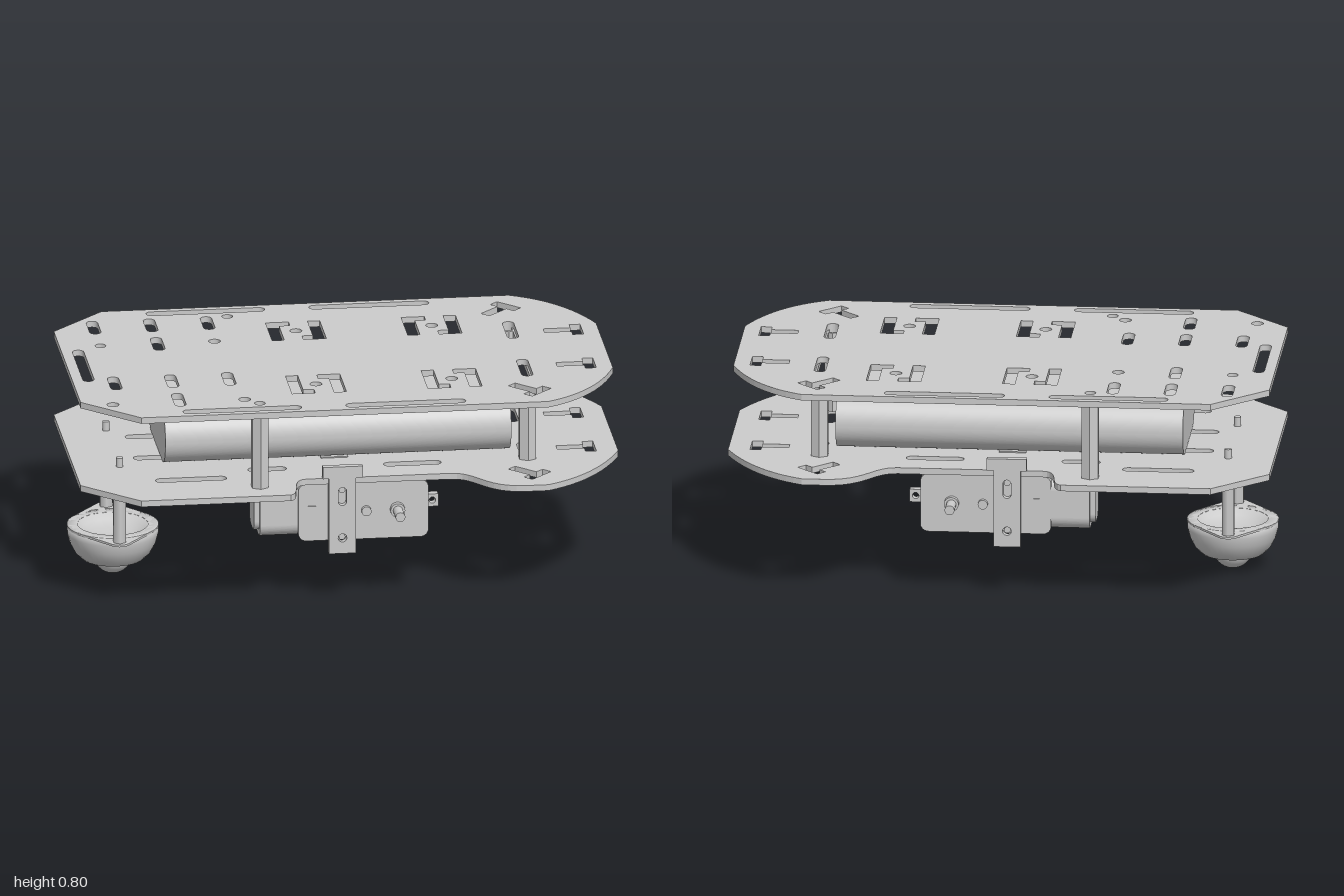
import * as THREE from 'three';

const grey = new THREE.MeshStandardMaterial({ color: 0xcccccc });
const thin = new THREE.MeshStandardMaterial({ color: 0xcccccc, side: THREE.DoubleSide });

function add(parent, name, geometry, x = 0, y = 0, z = 0, material = grey) {
  const m = new THREE.Mesh(geometry, material);
  m.name = name;
  m.position.set(x, y, z);
  parent.add(m);
  return m;
}
const box = (w, h, d) => new THREE.BoxGeometry(w, h, d);
const poly = (pts) => new THREE.Shape(pts.map(([x, y]) => new THREE.Vector2(x, y)));
const circle = (x, y, r) => new THREE.Shape().absarc(x, y, r, 0, Math.PI * 2);
const extrude = (shape, depth) =>
  new THREE.ExtrudeGeometry(shape, { depth, bevelEnabled: false, curveSegments: 12 });
// Horizontal slab: shape y becomes z, thickness goes down from y = 0
const slab = (shape, depth) => extrude(shape, depth).rotateX(Math.PI / 2);

// Rounded slot between two points along x or z
function slot(x0, z0, x1, z1, r = 0.021) {
  const s = new THREE.Shape();
  const a = Math.atan2(z1 - z0, x1 - x0);
  s.absarc(x1, z1, r, a - Math.PI / 2, a + Math.PI / 2);
  s.absarc(x0, z0, r, a + Math.PI / 2, a + Math.PI * 1.5);
  return s;
}
function roundRect(x0, y0, x1, y1, r) {
  const s = new THREE.Shape();
  s.absarc(x1 - r, y0 + r, r, -Math.PI / 2, 0);
  s.absarc(x1 - r, y1 - r, r, 0, Math.PI / 2);
  s.absarc(x0 + r, y1 - r, r, Math.PI / 2, Math.PI);
  s.absarc(x0 + r, y0 + r, r, Math.PI, Math.PI * 1.5);
  return s;
}
// T-shaped cut-out: stem along local x, bar at its end
function tee(cx, cz, angle, side) {
  const c = Math.cos(angle), s = Math.sin(angle), w = 0.02;
  const pts = [[-0.1, -w], [0, -w], [0, -0.055], [0.04, -0.055],
    [0.04, 0.055], [0, 0.055], [0, w], [-0.1, w]];
  return poly(pts.map(([u, v]) => [cx + u * c - v * s, side * (cz + u * s + v * c)]));
}
// Pair of facing L-shaped cut-outs around a round hole
function angleCuts(cx, side) {
  const ell = [[-0.1, -0.1], [-0.055, -0.1], [-0.055, 0.06], [-0.015, 0.06], [-0.015, 0.1], [-0.1, 0.1]];
  return [
    poly(ell.map(([u, v]) => [cx + u, side * (0.3 + v)])),
    poly(ell.map(([u, v]) => [cx - u, side * (0.3 - v)])),
    circle(cx, side * 0.3, 0.022),
  ];
}

// Plate outline: chamfered tail, curved nose, optional wheel notches
function plateShape(nose, notched) {
  const s = new THREE.Shape();
  s.moveTo(-1, -0.4);
  s.lineTo(-0.8, -0.6);
  if (notched) {
    s.lineTo(-0.25, -0.6);
    s.bezierCurveTo(-0.2, -0.58, -0.24, -0.43, -0.17, -0.43);
    s.lineTo(0.36, -0.43);
    s.bezierCurveTo(0.46, -0.43, 0.46, -0.6, 0.62, -0.6);
  }
  s.lineTo(0.7, -0.6);
  s.quadraticCurveTo(0.89, -0.51, nose, -0.25);
  s.lineTo(nose, 0.25);
  s.quadraticCurveTo(0.89, 0.51, 0.7, 0.6);
  if (notched) {
    s.lineTo(0.62, 0.6);
    s.bezierCurveTo(0.46, 0.6, 0.46, 0.43, 0.36, 0.43);
    s.lineTo(-0.17, 0.43);
    s.bezierCurveTo(-0.24, 0.43, -0.2, 0.58, -0.25, 0.6);
  }
  s.lineTo(-0.8, 0.6);
  s.lineTo(-1, 0.4);
  // Cut-outs shared by both plates
  for (const k of [-1, 1]) {
    s.holes.push(tee(0.66, 0.465, Math.PI / 4, k), tee(0.88, 0.19, 0, k),
      slot(0.66, k * 0.14, 0.66, k * 0.285), circle(-0.35, k * 0.49, 0.02));
  }
  return s;
}

function motorUnit() {
  const g = new THREE.Group();
  // Gearbox and motor can
  add(g, 'gearbox', extrude(roundRect(-0.2, 0.235, 0.28, 0.455, 0.03), 0.19), 0, 0, 0.23);
  add(g, 'motorCan', extrude(roundRect(-0.09, -0.1, 0.09, 0.1, 0.05), 0.14).rotateY(Math.PI / 2), -0.34, 0.348, 0.325);
  add(g, 'motorEndCap', extrude(roundRect(-0.07, -0.08, 0.07, 0.08, 0.04), 0.02).rotateY(Math.PI / 2), -0.36, 0.348, 0.325);
  add(g, 'sideClip', box(0.03, 0.045, 0.2), -0.15, 0.347, 0.325);
  // Mounting tab with hole
  const tab = roundRect(0.27, 0.322, 0.327, 0.37, 0.005);
  tab.holes.push(circle(0.304, 0.346, 0.012));
  add(g, 'mountTab', extrude(tab, 0.03), 0, 0, 0.31);
  // Axle, its collar and the locating peg
  const rod = (r, l) => new THREE.CylinderGeometry(r, r, l, 20).rotateX(Math.PI / 2);
  add(g, 'axle', rod(0.018, 0.38), 0.165, 0.345, 0.325);
  add(g, 'axleCollar', rod(0.027, 0.23), 0.165, 0.345, 0.325);
  add(g, 'locatingPeg', rod(0.018, 0.22), 0.05, 0.345, 0.325);
  // Outer bracket with wide head, inner bracket straight
  const cuts = () => [slot(-0.04, 0.39, -0.04, 0.43, 0.015), circle(-0.04, 0.25, 0.016)];
  const outer = poly([[-0.09, 0.19], [0.01, 0.19], [0.01, 0.48], [0.035, 0.48], [0.035, 0.525],
    [-0.112, 0.525], [-0.112, 0.48], [-0.09, 0.48]]);
  outer.holes.push(...cuts());
  add(g, 'outerBracket', extrude(outer, 0.025), 0, 0, 0.42);
  const inner = poly([[-0.09, 0.19], [0.01, 0.19], [0.01, 0.482], [-0.09, 0.482]]);
  inner.holes.push(...cuts());
  add(g, 'innerBracket', extrude(inner, 0.028), 0, 0, 0.177);
  // Through bolts
  for (const y of [0.25, 0.43]) add(g, 'bracketBolt', rod(0.012, 0.24), -0.04, y, 0.31);
  return g;
}

export function createModel() {
  const root = new THREE.Group();

  // Upper deck
  const top = plateShape(0.98, false);
  top.holes.push(slot(-0.94, -0.16, -0.94, 0.15), circle(-0.885, 0.44, 0.022),
    circle(-0.4, 0.44, 0.022), circle(-0.85, -0.22, 0.02), circle(-0.43, -0.22, 0.022),
    slot(-0.64, -0.265, -0.64, -0.165), slot(-0.64, 0.365, -0.64, 0.465));
  for (const x of [-0.85, -0.64, -0.43])
    top.holes.push(slot(x, -0.475, x, -0.375), slot(x, 0.155, x, 0.255));
  for (const k of [-1, 1])
    top.holes.push(slot(-0.62, k * 0.553, -0.225, k * 0.553), slot(-0.02, k * 0.553, 0.38, k * 0.553),
      ...angleCuts(-0.12, k), ...angleCuts(0.38, k));
  add(root, 'upperDeck', slab(top, 0.023), 0, 0.8);

  // Lower deck
  const low = plateShape(1, true);
  for (const k of [-1, 1])
    low.holes.push(slot(-0.7, k * 0.38, -0.48, k * 0.38), slot(-0.75, k * 0.12, -0.6, k * 0.12),
      slot(0.15, k * 0.3, 0.32, k * 0.3), slot(-0.35, k * 0.3, -0.25, k * 0.3));
  add(root, 'lowerDeck', slab(low, 0.023), 0, 0.478);

  // Stiffening ribs beneath the decks
  add(root, 'upperLongRib', box(1.7, 0.024, 0.04), 0, 0.766);
  for (const x of [-0.54, 0.065, 0.69]) add(root, 'upperCrossRib', box(0.03, 0.024, 0.8), x, 0.766);
  add(root, 'lowerLongRib', box(1.47, 0.024, 0.04), 0.165, 0.443);
  for (const x of [-0.435, 0.445]) add(root, 'lowerCrossRib', box(0.03, 0.024, 0.7), x, 0.443, 0.02);

  // Hollow hexagonal standoffs
  const hex = poly([0, 1, 2, 3, 4, 5].map((i) => {
    const a = (i * Math.PI) / 3 + Math.PI / 2;
    return [0.035 * Math.cos(a), 0.035 * Math.sin(a)];
  }));
  hex.holes.push(circle(0, 0, 0.02));
  for (const [x, z] of [[-0.35, 0.49], [0.66, 0.29]])
    for (const k of [-1, 1]) add(root, 'standoff', slab(hex, 0.3), x, 0.778, k * z);

  // Battery pack lying on the lower deck
  add(root, 'batteryPack', new THREE.ExtrudeGeometry(roundRect(-0.262, 0.48, 0.262, 0.68, 0.097),
    { depth: 1.275, bevelEnabled: false, curveSegments: 20 }).rotateY(Math.PI / 2), -0.67);

  // Drive motors, mirrored across the centre line
  for (const k of [1, -1]) {
    const m = motorUnit();
    m.name = k > 0 ? 'frontMotor' : 'rearMotor';
    m.scale.z = k;
    root.add(m);
  }

  // Ball caster hung below the tail
  const caster = new THREE.Group();
  caster.name = 'caster';
  caster.position.x = -0.832;
  root.add(caster);
  const cup = [[0.07, 0.058], [0.115, 0.06], [0.14, 0.085], [0.158, 0.12], [0.167, 0.155], [0.168, 0.187],
    [0.13, 0.187], [0.115, 0.165], [0.07, 0.15], [0, 0.145]];
  add(caster, 'casterCup', new THREE.LatheGeometry(cup.map(([r, y]) => new THREE.Vector2(r, y)), 40), 0, 0, 0, thin);
  add(caster, 'casterBall', new THREE.SphereGeometry(0.073, 28, 18), 0, 0.073);
  const flange = new THREE.Shape();
  flange.absarc(0, 0, 0.168, -0.6, 0.6);
  flange.absarc(0, 0.205, 0.04, 0.6, Math.PI - 0.6);
  flange.absarc(0, 0, 0.168, Math.PI - 0.6, Math.PI + 0.6);
  flange.absarc(0, -0.205, 0.04, Math.PI + 0.6, Math.PI * 2 - 0.6);
  flange.holes.push(circle(0, 0, 0.13));
  add(caster, 'casterFlange', slab(flange, 0.008), 0, 0.187);
  for (const k of [-1, 1]) {
    add(caster, 'casterPost', new THREE.CylinderGeometry(0.026, 0.026, 0.268, 6).toNonIndexed(), 0, 0.321, k * 0.205);
    add(caster, 'casterScrew', new THREE.CylinderGeometry(0.013, 0.013, 0.06, 12), 0, 0.483, k * 0.205);
  }
  return root;
}
